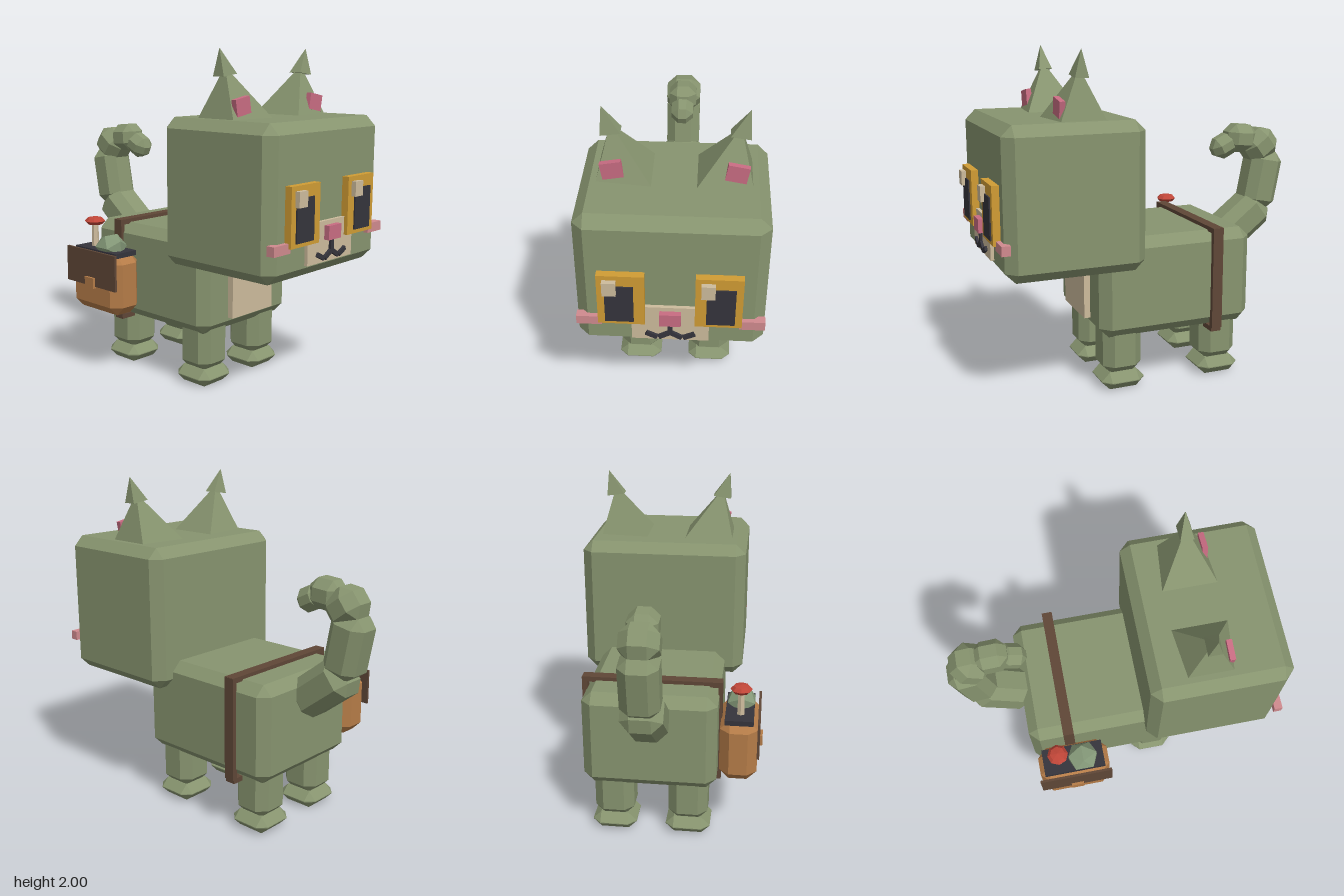
import * as THREE from 'three';
import { ConvexGeometry } from 'three/addons/geometries/ConvexGeometry.js';

const CX = 0.073; // the body's plane of symmetry; the side pouch shifts it off x = 0

const material = (name, color) => {
  const m = new THREE.MeshStandardMaterial({ color });
  m.name = name;
  return m;
};

// Box with all edges cut off by c
function chamferBox(w, h, d, c) {
  const points = [];
  const [x, y, z] = [w / 2, h / 2, d / 2];
  for (const i of [-1, 1]) for (const j of [-1, 1]) for (const k of [-1, 1]) {
    points.push(
      new THREE.Vector3(i * x, j * (y - c), k * (z - c)),
      new THREE.Vector3(i * (x - c), j * y, k * (z - c)),
      new THREE.Vector3(i * (x - c), j * (y - c), k * z));
  }
  return new ConvexGeometry(points);
}

export function createModel() {
  const fur = material('furGreen', 0x87946f);
  const gold = material('irisGold', 0xd09c34);
  const dark = material('dark', 0x35343c);
  const cream = material('cream', 0xcdbb9c);
  const pink = material('pink', 0xc86c82);
  const blush = material('blush', 0xd08a8e);
  const leather = material('strapBrown', 0x5f4737);
  const tan = material('pouchTan', 0xb57c48);
  const red = material('capRed', 0xc04638);
  const stone = material('stoneGreen', 0x849878);
  fur.flatShading = false;

  const model = new THREE.Group();
  model.name = 'cat';

  const add = (name, geometry, mat, x = 0, y = 0, z = 0) => {
    const mesh = new THREE.Mesh(geometry, mat);
    mesh.name = name;
    mesh.position.set(x, y, z);
    model.add(mesh);
    return mesh;
  };
  // Boxes given by their [min, max] extents; c > 0 chamfers them
  const box = (name, mat, [x0, x1], [y0, y1], [z0, z1], c = 0) => {
    const size = [x1 - x0, y1 - y0, z1 - z0];
    const geometry = c ? chamferBox(...size, c) : new THREE.BoxGeometry(...size);
    return add(name, geometry, mat, (x0 + x1) / 2, (y0 + y1) / 2, (z0 + z1) / 2);
  };
  const hull = (name, mat, points) =>
    add(name, new ConvexGeometry(points.map(p => new THREE.Vector3(...p))), mat);

  // Head and body
  box('head', fur, [-0.433, 0.579], [0.767, 1.618], [0.12, 0.93], 0.06);
  box('body', fur, [-0.322, 0.466], [0.34, 0.93], [-0.605, 0.36], 0.06);
  box('chest', cream, [-0.11, 0.255], [0.42, 0.79], [0.34, 0.397]);

  // Legs and paws
  for (const x of [-0.152, 0.294]) for (const z of [0.2, -0.43]) {
    add('leg', chamferBox(0.237, 0.33, 0.24, 0.055), fur, x, 0.255, z);
    add('paw', chamferBox(0.268, 0.105, 0.268, 0.05), fur, x, 0.0525, z);
  }

  // Curled tail: [z, y] start, [z, y] end, width, chamfer
  const tail = [
    [-0.56, 0.755, -0.875, 1.0, 0.24, 0.06],
    [-0.835, 0.965, -0.905, 1.33, 0.22, 0.055],
    [-0.915, 1.285, -0.79, 1.45, 0.22, 0.06],
    [-0.82, 1.41, -0.62, 1.425, 0.175, 0.05],
    [-0.68, 1.41, -0.53, 1.335, 0.14, 0.045],
  ];
  for (const [z0, y0, z1, y1, w, c] of tail) {
    const length = Math.hypot(z1 - z0, y1 - y0);
    const segment = add('tailSegment', chamferBox(w, length, w, c), fur,
      0.07, (y0 + y1) / 2, (z0 + z1) / 2);
    segment.rotation.x = Math.atan2(z1 - z0, y1 - y0);
  }

  // Ears, cheeks and mouth, mirrored; d is the distance from the symmetry plane
  for (const s of [-1, 1]) {
    const X = d => CX + s * d;
    hull('ear', fur, [
      [X(0.417), 1.6, 0.325], [X(0.11), 1.605, 0.295], [X(0.11), 1.605, 0.63],
      [X(0.417), 1.6, 0.6], [X(0.34), 1.9, 0.465]]);
    hull('earTip', fur, [
      [X(0.393), 1.845, 0.425], [X(0.285), 1.86, 0.425], [X(0.285), 1.86, 0.505],
      [X(0.393), 1.845, 0.505], [X(0.385), 2.0, 0.465]]);
    const inner = add('innerEar', new THREE.BoxGeometry(0.115, 0.095, 0.032), pink,
      X(0.328), 1.687, 0.576);
    inner.rotation.z = -s * 0.18;

    add('cheek', new THREE.BoxGeometry(0.138, 0.055, 0.05), blush, X(0.436), 0.967, 0.932);

    // Each side of the mouth is two short strokes
    for (const [d0, y0, d1, y1] of [[0, 0.9, 0.062, 0.864], [0.07, 0.864, 0.13, 0.893]]) {
      const stroke = add('mouth',
        new THREE.BoxGeometry(Math.hypot(d1 - d0, y1 - y0), 0.026, 0.025), dark,
        X((d0 + d1) / 2), (y0 + y1) / 2, 0.953);
      stroke.rotation.z = s * Math.atan2(y1 - y0, d1 - d0);
    }
  }

  // Muzzle and nose
  box('muzzle', cream, [-0.135, 0.28], [0.84, 1.07], [0.91, 0.95]);
  box('nose', pink, [0.015, 0.13], [0.965, 1.045], [0.93, 0.982]);
  box('mouth', dark, [0.06, 0.086], [0.89, 0.97], [0.94, 0.966]);

  // Eyes; the glints both sit on the same side
  for (const [x, pupil] of [[-0.312, 0.04], [0.203, 0.06]]) {
    box('iris', gold, [x, x + 0.25], [0.965, 1.295], [0.91, 0.972]);
    box('pupil', dark, [x + pupil, x + pupil + 0.152], [0.988, 1.228], [0.95, 0.98]);
    box('glint', cream, [x + 0.031, x + 0.104], [1.182, 1.268], [0.95, 1.0]);
  }

  // Strap around the body
  const strapZ = [-0.395, -0.33];
  box('strapTop', leather, [-0.34, 0.49], [0.92, 0.952], strapZ);
  box('strapBottom', leather, [-0.34, 0.482], [0.312, 0.342], strapZ);
  box('strapSide', leather, [0.46, 0.492], [0.335, 0.95], strapZ);
  box('strapSide', leather, [-0.34, -0.315], [0.335, 0.95], strapZ);

  // Side pouch with flap and clasp
  box('pouch', tan, [-0.555, -0.335], [0.4, 0.78], [-0.58, -0.14], 0.057);
  box('pouchOpening', dark, [-0.528, -0.362], [0.76, 0.79], [-0.55, -0.17]);
  box('pouchFlap', leather, [-0.567, -0.552], [0.57, 0.79], [-0.586, -0.134]);
  box('clasp', tan, [-0.582, -0.56], [0.56, 0.625], [-0.4, -0.32]);

  // Mushroom and stone sticking out of the pouch
  add('mushroomStem', new THREE.CylinderGeometry(0.02, 0.024, 0.16, 6).toNonIndexed(),
    cream, -0.45, 0.86, -0.45).geometry.computeVertexNormals();
  const cap = new THREE.SphereGeometry(0.064, 8, 4).toNonIndexed();
  cap.scale(1, 0.45, 1);
  cap.computeVertexNormals();
  add('mushroomCap', cap, red, -0.45, 0.948, -0.45);
  const rock = add('stone', new THREE.IcosahedronGeometry(0.1, 0), stone, -0.45, 0.81, -0.3);
  rock.scale.set(0.95, 0.8, 1.05);

  return model;
}
